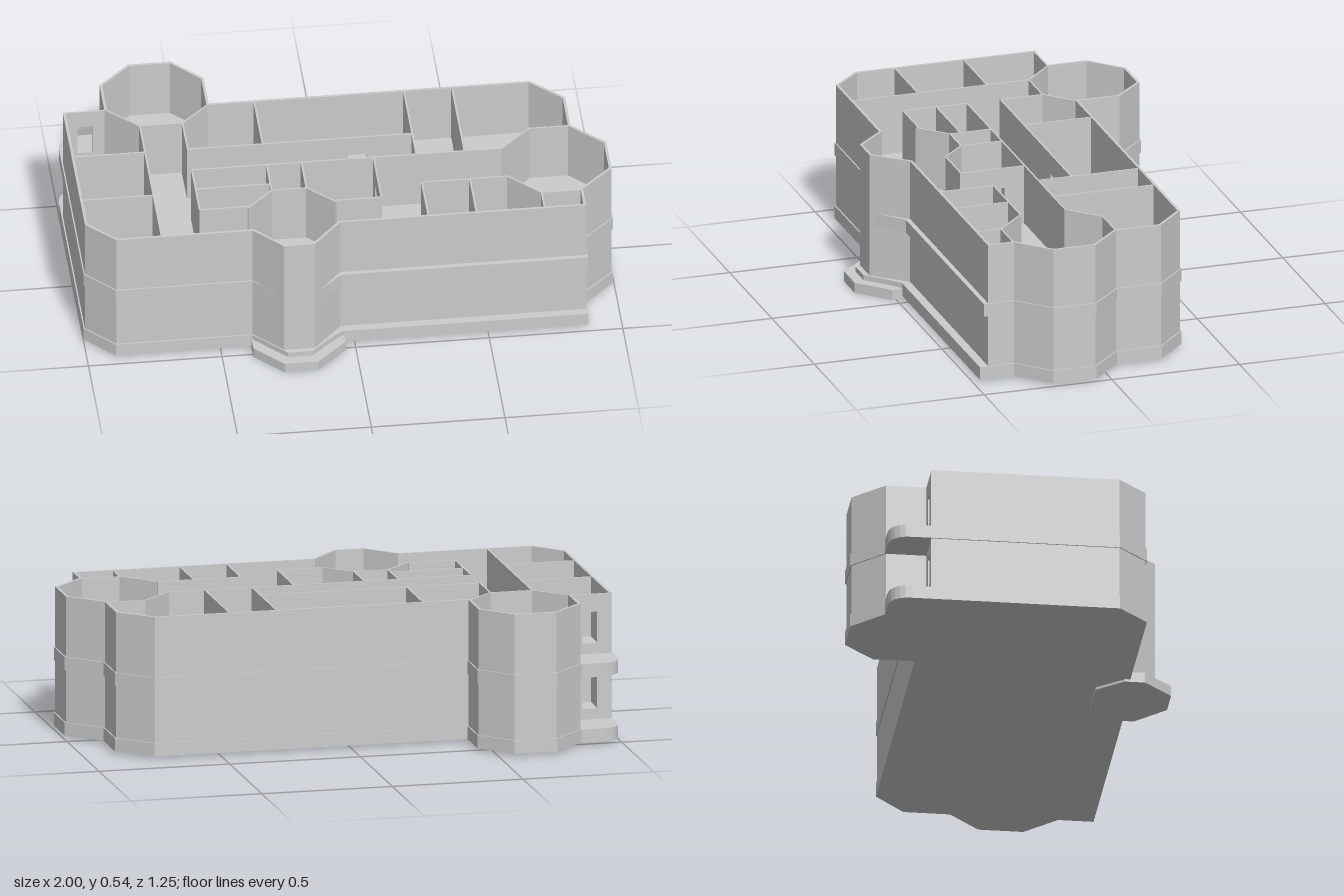
import * as THREE from 'three';

const T = 0.01; // wall thickness
const TOP = 0.54, BASE = 0.01;
const mat = new THREE.MeshStandardMaterial({ color: 0xcccccc, flatShading: true, side: THREE.DoubleSide });

// Plan outline as [x, z]; frontZ is the front wall right of the bay, bay its depth
function outline(frontZ, bay) {
  return [
    [-0.84, -0.36], [-0.84, -0.51], [-0.72, -0.625], [-0.56, -0.625], [-0.45, -0.51], [-0.45, -0.35],
    [0.75, -0.35], [0.87, -0.235], [0.87, -0.06],
    [0.99, 0.06], [0.99, 0.225], [0.87, 0.34], [0.87, frontZ],
    [-0.05, frontZ], [-0.16, bay], [-0.275, bay], [-0.38, 0.455],
    [-0.89, 0.455], [-0.995, 0.345], [-0.995, -0.36],
  ];
}

// Mitred offset of a closed outline; positive d grows it
function offset(pts, d) {
  const n = pts.length;
  const normal = (a, b) => {
    const dx = b[0] - a[0], dz = b[1] - a[1], l = Math.hypot(dx, dz);
    return [dz / l, -dx / l];
  };
  return pts.map((p, i) => {
    const u = normal(pts[(i + n - 1) % n], p), v = normal(p, pts[(i + 1) % n]);
    const k = d / (1 + u[0] * v[0] + u[1] * v[1]);
    return [p[0] + (u[0] + v[0]) * k, p[1] + (u[1] + v[1]) * k];
  });
}

const toShape = (pts) => new THREE.Shape(pts.map(([x, z]) => new THREE.Vector2(x, z)));

// Flat plan shape raised from y0 to y1
function slab(name, shape, y0, y1) {
  const geo = new THREE.ExtrudeGeometry(shape, { depth: y1 - y0, bevelEnabled: false, curveSegments: 6 });
  geo.rotateX(Math.PI / 2).translate(0, y1, 0);
  const mesh = new THREE.Mesh(geo, mat);
  mesh.name = name;
  return mesh;
}

// Upright wall from a to b; openings are [start, end, bottom, top] along it
function wall(name, a, b, openings = []) {
  const dx = b[0] - a[0], dz = b[1] - a[1], len = Math.hypot(dx, dz);
  const shape = toShape([[0, BASE + 0.01], [len, BASE + 0.01], [len, TOP - 0.002], [0, TOP - 0.002]]);
  for (const [s, e, y0, y1] of openings) {
    shape.holes.push(new THREE.Path([[s, y0], [s, y1], [e, y1], [e, y0]].map((p) => new THREE.Vector2(...p))));
  }
  const geo = new THREE.ExtrudeGeometry(shape, { depth: T * 0.7, bevelEnabled: false });
  geo.translate(0, 0, -T * 0.35);
  const mesh = new THREE.Mesh(geo, mat);
  mesh.position.set(a[0], 0, a[1]);
  mesh.rotation.y = Math.atan2(-dz, dx);
  mesh.name = name;
  return mesh;
}

export function createModel() {
  const model = new THREE.Group();

  // Outer walls with the towers and the front bay
  const plan = outline(0.442, 0.565);
  model.add(slab('outerWall', toShape([...plan, ...offset(plan, -T).reverse()]), BASE, TOP));
  const window = (y) => [0.055, 0.11, y, y + 0.12];
  model.add(wall('balconyWall', [-0.995, -0.356], [-0.84, -0.356], [window(0.1), window(0.35)]));

  // Ground and upper floors, showing outside as slim bands
  model.add(slab('groundFloor', toShape(offset(outline(0.47, 0.56), 0.005)), BASE, 0.06));
  model.add(slab('upperFloor', toShape(offset(outline(0.455, 0.555), 0.005)), 0.26, 0.31));

  // Rounded balconies beside the rear tower
  for (const [y0, y1] of [[BASE, 0.06], [0.26, 0.31]]) {
    const s = new THREE.Shape();
    s.moveTo(-1, -0.355);
    s.lineTo(-1, -0.43);
    s.quadraticCurveTo(-1, -0.515, -0.915, -0.515);
    s.lineTo(-0.84, -0.515);
    s.lineTo(-0.84, -0.355);
    model.add(slab('balcony', s, y0, y1));
  }

  // Stepped foot of the bay
  const foot = [
    [-0.3, 0.34], [-0.13, 0.34], [-0.04, 0.44], [-0.04, 0.515],
    [-0.155, 0.625], [-0.28, 0.625], [-0.385, 0.515], [-0.385, 0.44],
  ];
  model.add(slab('bayFoot', toShape(foot), 0, 0.04));
  model.add(slab('bayFootStep', toShape(offset(foot, -0.04)), 0.04, 0.06));

  // Partition walls
  const partitions = [
    // rear tower
    [[-0.84, -0.36], [-0.72, -0.245]], [[-0.72, -0.245], [-0.56, -0.245]], [[-0.56, -0.245], [-0.45, -0.35]],
    // side wing
    [[-0.72, -0.245], [-0.72, 0.45]], [[-0.99, -0.08], [-0.72, -0.08]], [[-0.99, 0.19], [-0.72, 0.19]],
    // rear rooms
    [[-0.56, -0.245], [-0.56, -0.08]], [[-0.28, -0.345], [-0.28, -0.08]],
    [[-0.56, -0.08], [0.28, -0.08], 0.6], [[0.28, -0.345], [0.28, 0.05]], [[0.46, -0.345], [0.46, 0.05]],
    // corridor
    [[-0.56, 0.05], [0.6, 0.05]], [[0.28, 0.225], [0.6, 0.225]],
    // side tower
    [[0.6, 0.05], [0.715, -0.06]], [[0.715, -0.06], [0.87, -0.06]],
    [[0.6, 0.225], [0.715, 0.34]], [[0.715, 0.34], [0.87, 0.34]],
    // front rooms
    [[0.28, 0.225], [0.28, 0.44]], [[0.46, 0.225], [0.46, 0.44]], [[0.715, 0.34], [0.715, 0.44]],
    [[-0.56, 0.05], [-0.56, 0.3]], [[-0.56, 0.3], [-0.38, 0.3]], [[-0.56, 0.17], [-0.28, 0.17]],
    [[-0.28, 0.05], [-0.28, 0.21]], [[-0.15, 0.05], [-0.15, 0.21]],
    [[0.12, 0.05], [0.12, 0.3], 0.08], [[-0.05, 0.3], [0.12, 0.3]],
    // inner side of the bay
    [[-0.38, 0.31], [-0.28, 0.21]], [[-0.28, 0.21], [-0.15, 0.21]], [[-0.15, 0.21], [-0.05, 0.31]],
  ];
  for (const [a, b, door] of partitions) {
    const doors = door ? [0.06, 0.31].map((y) => [door, door + 0.07, y, y + 0.15]) : [];
    model.add(wall('partition', a, b, doors));
  }

  return model;
}
